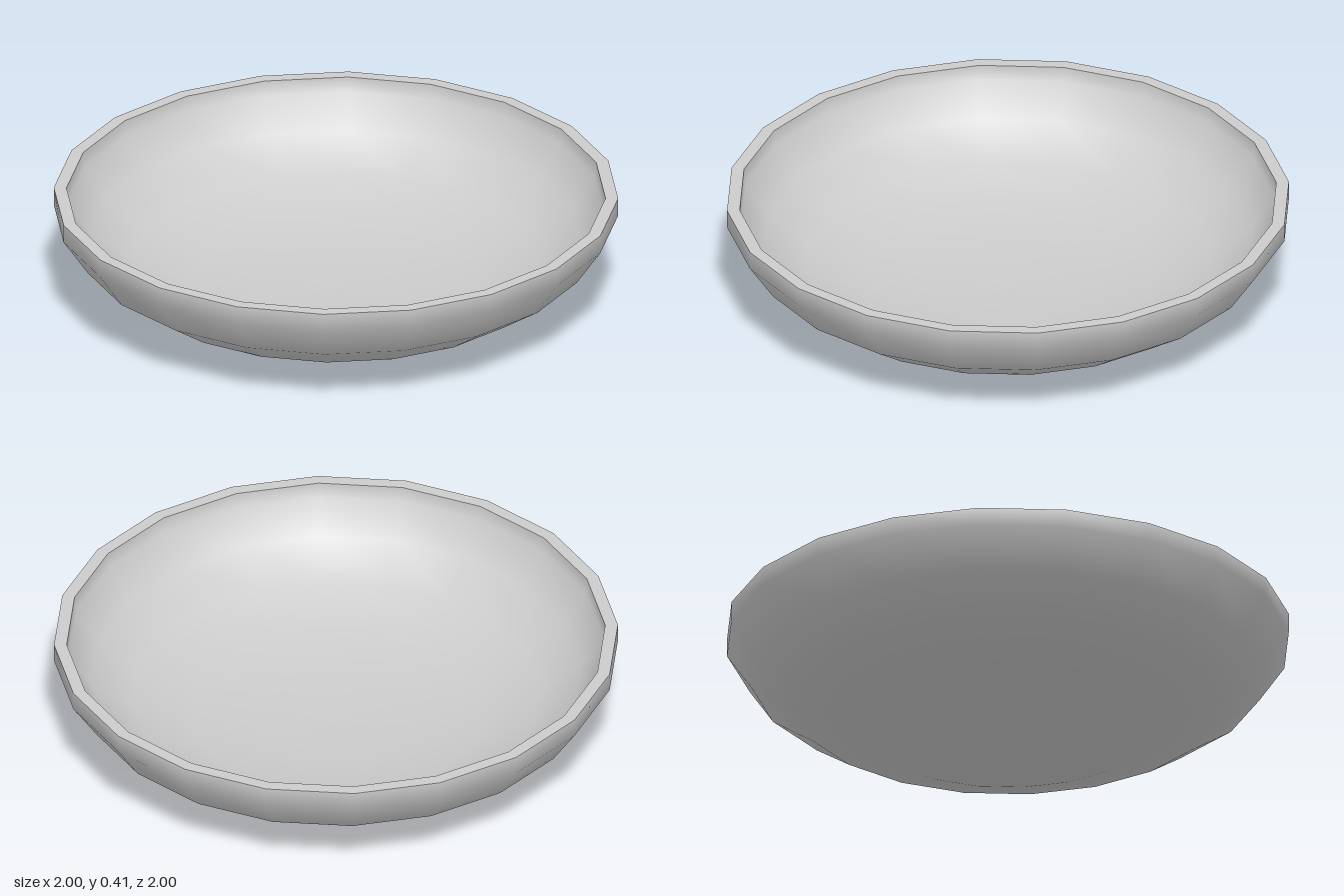
import * as THREE from 'three';

const SIDES = 20;

// Revolves a short profile of [radius, height] points around the y axis.
function turned(name, profile, material) {
  const points = profile.map(([r, y]) => new THREE.Vector2(r, y));
  const mesh = new THREE.Mesh(new THREE.LatheGeometry(points, SIDES), material);
  mesh.name = name;
  return mesh;
}

export function createModel() {
  const group = new THREE.Group();
  group.name = 'bowl';
  const material = new THREE.MeshStandardMaterial({ color: 0xcccccc });

  // Outside: shallow rounded underside ending in a short upright band
  group.add(turned('outerWall', [
    [0, 0], [0.27, 0.006], [0.53, 0.033], [0.755, 0.11], [0.91, 0.215], [1, 0.348], [1, 0.415],
  ], material));

  // Flat lip joining the outside and the inside
  group.add(turned('rim', [[1, 0.415], [0.955, 0.415]], material));

  // Inside: follows the outside at an even thickness, running down to the centre
  group.add(turned('innerWall', [
    [0.955, 0.415], [0.95, 0.36], [0.87, 0.243], [0.725, 0.148], [0.515, 0.078], [0.26, 0.05], [0, 0.045],
  ], material));

  return group;
}
